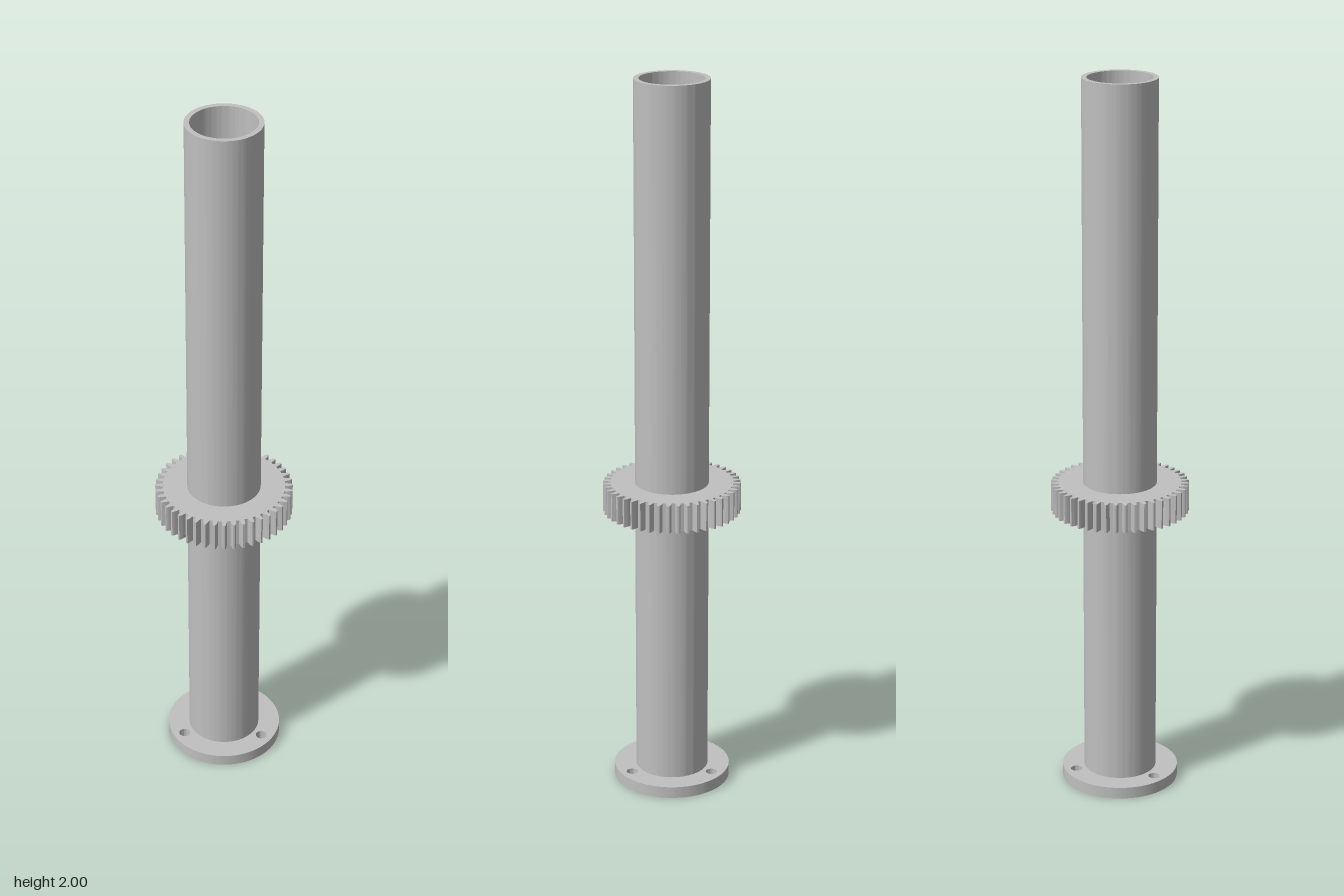
import * as THREE from 'three';
import { toCreasedNormals } from 'three/addons/utils/BufferGeometryUtils.js';

const BORE = 0.087, TUBE = 0.101;

function circle(r, x = 0, y = 0) {
  return new THREE.Path().absarc(x, y, r, 0, Math.PI * 2, false);
}

function disc(r) {
  return new THREE.Shape().absarc(0, 0, r, 0, Math.PI * 2, false);
}

// Outline of a spur gear with curved tooth flanks; one tooth points along +x
function gearOutline(teeth, root, tip) {
  const pitch = (Math.PI * 2) / teeth;
  // radius fraction from root to tip, half width as a fraction of the pitch
  const flank = [[0, 0.31], [0.3, 0.265], [0.65, 0.2], [0.92, 0.13], [1, 0.09]];
  const side = flank.map(([t, w]) => [root + (tip - root) * t, w]);
  const tooth = [
    ...side.map(([r, w]) => [r, -w]),
    ...side.slice().reverse(),
  ];
  const points = [];
  for (let i = 0; i < teeth; i++) {
    for (const [r, w] of tooth) {
      const a = (i + w) * pitch;
      points.push(new THREE.Vector2(r * Math.cos(a), r * Math.sin(a)));
    }
  }
  return new THREE.Shape(points);
}

export function createModel() {
  const model = new THREE.Group();
  const steel = new THREE.MeshStandardMaterial({ color: 0xc0c0c0 });
  steel.name = 'steel grey';

  // Extrude a flat shape upward from y to y + height
  function addPart(name, shape, holes, y, height) {
    shape.holes.push(...holes);
    let geometry = new THREE.ExtrudeGeometry(shape, {
      depth: height, bevelEnabled: false, curveSegments: 72,
    });
    geometry.rotateX(-Math.PI / 2);
    geometry.translate(0, y, 0);
    geometry = toCreasedNormals(geometry, Math.PI / 7);
    const mesh = new THREE.Mesh(geometry, steel);
    mesh.name = name;
    model.add(mesh);
  }

  // Hollow shaft
  addPart('tube', disc(TUBE), [circle(BORE)], 0, 2);

  // Base flange with three bolt holes
  const boltHoles = [0, 1, 2].map((i) => {
    const a = (i * Math.PI * 2) / 3;
    return circle(0.016, 0.129 * Math.cos(a), 0.129 * Math.sin(a));
  });
  addPart('baseFlange', disc(0.162), [circle(TUBE), ...boltHoles], 0, 0.033);

  // Gear ring around the shaft
  addPart('gear', gearOutline(44, 0.168, 0.189), [circle(TUBE)], 0.804, 0.08);

  return model;
}
